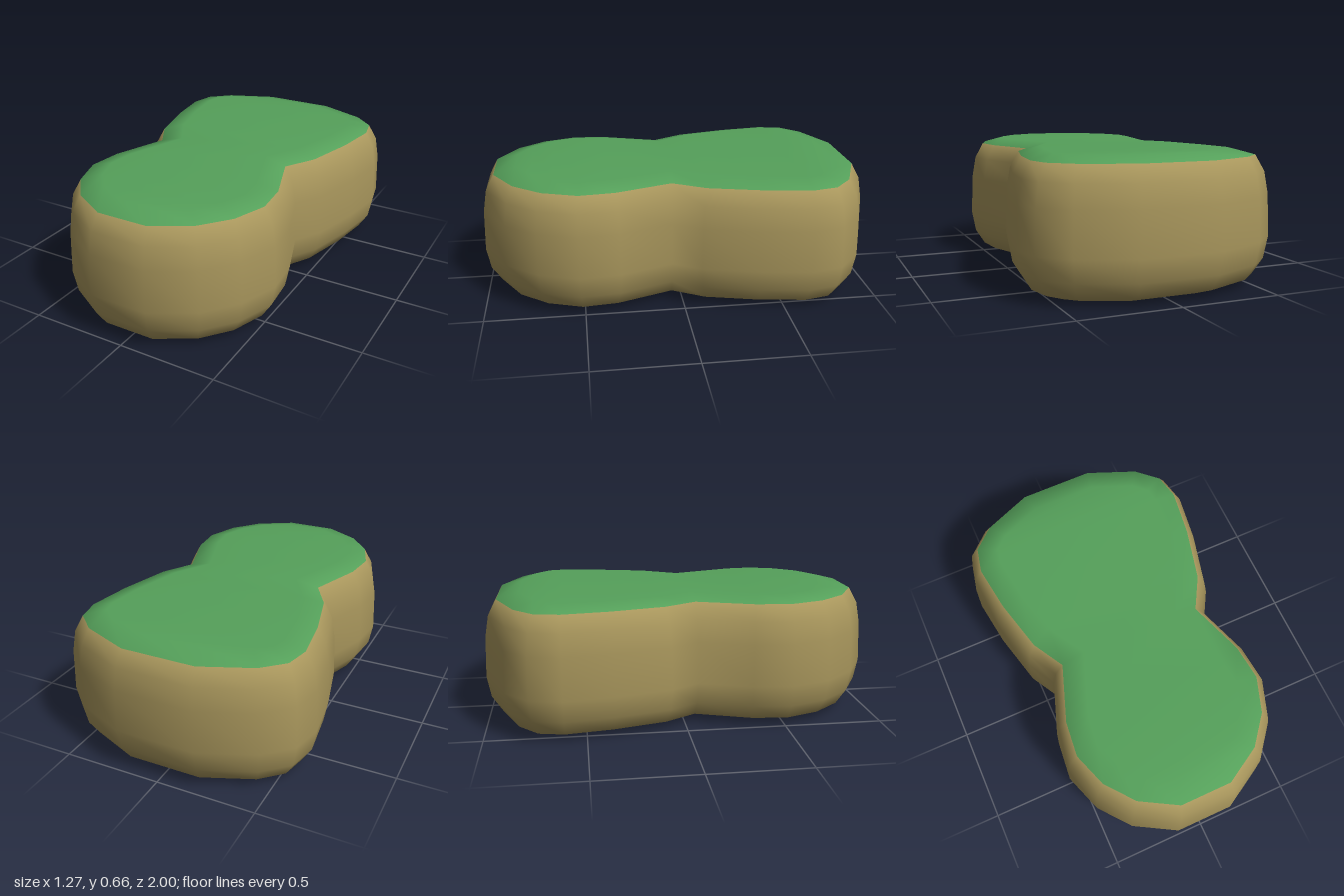
import * as THREE from 'three';

// right half of the plan outline at its widest level, back to front: [x, z]
const HALF = [
  [0.2, -1], [0.47, -0.89], [0.6, -0.77], [0.635, -0.61], [0.6, -0.36], [0.53, -0.08],
  [0.45, 0.06], [0.54, 0.32], [0.56, 0.52], [0.49, 0.72], [0.36, 0.88], [0.15, 1],
];
// levels from the base up: [y, inset from the outline]
const LEVELS = [
  [0, 0.18], [0.04, 0.07], [0.12, 0.02], [0.23, 0], [0.44, 0.008],
  [0.55, 0.027], [0.63, 0.07], [0.66, 0.18],
];
const GRASS_LEVEL = 6;

// outward mitred direction at each outline point
function miters(loop) {
  const n = loop.length;
  const edgeNormal = (a, b) => new THREE.Vector2(b.y - a.y, a.x - b.x).normalize();
  return loop.map((p, i) => {
    const n1 = edgeNormal(loop[(i + n - 1) % n], p);
    const n2 = edgeNormal(p, loop[(i + 1) % n]);
    return n1.clone().add(n2).divideScalar(1 + n1.dot(n2));
  });
}

export function createModel() {
  const right = HALF.map(([x, z]) => new THREE.Vector2(x, z));
  const left = HALF.map(([x, z]) => new THREE.Vector2(-x, z)).reverse();
  const loop = [...right, ...left];
  const n = loop.length;
  const out = miters(loop);

  // stacked rings
  const positions = [];
  for (const [y, inset] of LEVELS) {
    loop.forEach((p, i) => positions.push(p.x - out[i].x * inset, y, p.y - out[i].y * inset));
  }

  // walls, split between earth and grass
  const earth = [], grass = [];
  for (let k = 0; k < LEVELS.length - 1; k++) {
    const target = k < GRASS_LEVEL ? earth : grass;
    for (let i = 0; i < n; i++) {
      const j = (i + 1) % n;
      const a = k * n + i, b = k * n + j, c = b + n, d = a + n;
      target.push(a, d, c, a, c, b);
    }
  }

  // flat caps, bridged across from right to left
  const top = (LEVELS.length - 1) * n;
  for (let i = 0; i < HALF.length - 1; i++) {
    const r0 = i, r1 = i + 1, l0 = n - 1 - i, l1 = n - 2 - i;
    grass.push(top + r0, top + l0, top + l1, top + r0, top + l1, top + r1);
    earth.push(r0, l1, l0, r0, r1, l1);
  }

  // normals are shared across the seam so both parts blend smoothly
  const whole = new THREE.BufferGeometry();
  whole.setAttribute('position', new THREE.Float32BufferAttribute(positions, 3));
  whole.setIndex([...earth, ...grass]);
  whole.computeVertexNormals();

  const group = new THREE.Group();
  group.name = 'grassyPlatform';
  const addPart = (name, index, color) => {
    const geometry = whole.clone().setIndex(index).toNonIndexed();
    const mesh = new THREE.Mesh(geometry, new THREE.MeshStandardMaterial({ color }));
    mesh.name = name;
    group.add(mesh);
  };
  addPart('earthBase', earth, 0xa8965c);
  addPart('grassTop', grass, 0x55a05a);
  return group;
}
